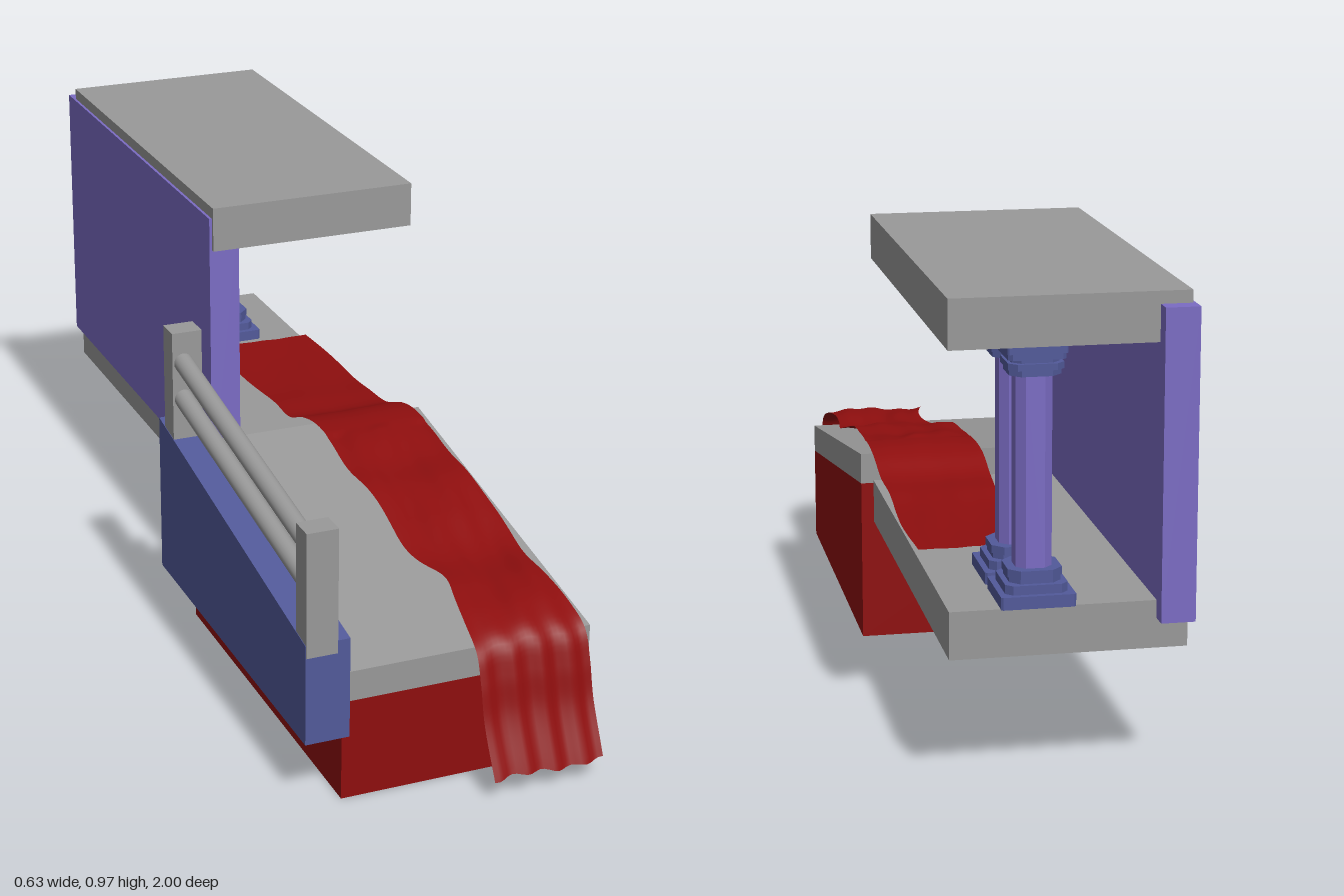
import * as THREE from 'three';

const grey = new THREE.MeshStandardMaterial({ color: 0x999999 });
const red = new THREE.MeshStandardMaterial({ color: 0x8e0e0e, side: THREE.DoubleSide });
const purple = new THREE.MeshStandardMaterial({ color: 0x7b6cc4 });
const blue = new THREE.MeshStandardMaterial({ color: 0x525a9a });
grey.name = 'stone grey';
red.name = 'deep red';
purple.name = 'violet';
blue.name = 'slate blue';

function add(parent, name, geometry, material) {
  const mesh = new THREE.Mesh(geometry, material);
  mesh.name = name;
  parent.add(mesh);
  return mesh;
}

// Box given by its limits on each axis
function box(parent, name, material, [x0, x1], [y0, y1], [z0, z1]) {
  const mesh = add(parent, name, new THREE.BoxGeometry(x1 - x0, y1 - y0, z1 - z0), material);
  mesh.position.set((x0 + x1) / 2, (y0 + y1) / 2, (z0 + z1) / 2);
  return mesh;
}

// Side profile of [z, y] points, extruded across x
function prism(parent, name, material, [x0, x1], points) {
  const shape = new THREE.Shape(points.map(([z, y]) => new THREE.Vector2(z, y)));
  const geometry = new THREE.ExtrudeGeometry(shape, { depth: x1 - x0, bevelEnabled: false });
  geometry.rotateY(-Math.PI / 2).translate(x1, 0, 0);
  return add(parent, name, geometry, material);
}

// Square block with cut corners, used for the column mouldings
function moulding(parent, name, material, y0, y1, width, cut) {
  const h = width / 2, c = h - cut;
  const corners = [[c, -h], [h, -c], [h, c], [c, h], [-c, h], [-h, c], [-h, -c], [-c, -h]];
  const shape = new THREE.Shape(corners.map(([x, y]) => new THREE.Vector2(x, y)));
  const geometry = new THREE.ExtrudeGeometry(shape, { depth: y1 - y0, bevelEnabled: false });
  geometry.rotateX(-Math.PI / 2).translate(0, y0, 0);
  return add(parent, name, geometry, material);
}

function column(z) {
  const group = new THREE.Group();
  group.name = 'column';
  moulding(group, 'shaft', purple, 0.42, 0.82, 0.071, 0.017);
  // bottom, top, width, corner cut
  const base = [[0.365, 0.39, 0.146, 0.004], [0.39, 0.408, 0.122, 0.014],
    [0.408, 0.418, 0.1, 0.018], [0.418, 0.434, 0.106, 0.022]];
  const capital = [[0.812, 0.824, 0.1, 0.02], [0.824, 0.837, 0.108, 0.016],
    [0.837, 0.845, 0.092, 0.016], [0.845, 0.857, 0.112, 0.008], [0.857, 0.872, 0.116, 0.003]];
  base.forEach(p => moulding(group, 'columnBase', blue, ...p));
  capital.forEach(p => moulding(group, 'columnCapital', blue, ...p));
  group.position.set(0.112, 0, z);
  return group;
}

// Round bar between two points
function bar(parent, name, material, a, b, radius) {
  const path = new THREE.LineCurve3(new THREE.Vector3(...a), new THREE.Vector3(...b));
  return add(parent, name, new THREE.TubeGeometry(path, 1, radius, 20), material);
}

// Rippled cloth following a path of [z, y] points from the back to the hanging front end
function carpet(parent) {
  const path = new THREE.CatmullRomCurve3([
    [-0.6, 0.384], [-0.45, 0.383], [-0.29, 0.387], [-0.2, 0.394], [-0.1, 0.4], [-0.02, 0.43],
    [0.04, 0.44], [0.14, 0.434], [0.25, 0.414], [0.35, 0.407], [0.46, 0.383], [0.6, 0.347],
    [0.73, 0.346], [0.83, 0.332], [0.9, 0.3], [0.925, 0.24], [0.945, 0.16], [0.995, 0.047],
  ].map(([z, y]) => new THREE.Vector3(0, y, z)));
  const geometry = new THREE.PlaneGeometry(1, 1, 24, 140);
  const pos = geometry.attributes.position;
  for (let i = 0; i < pos.count; i++) {
    const u = pos.getX(i), t = 0.5 - pos.getY(i);
    const p = path.getPointAt(Math.min(1, Math.max(0, t)));
    const pinch = Math.exp(-(((p.z - 0.66) / 0.09) ** 2)) * (p.y > 0.32 ? 1 : 0);
    const left = 0.045 + 0.028 * pinch + 0.004 * Math.sin(p.z * 19);
    const right = 0.286 - 0.008 * pinch + 0.004 * Math.sin(p.z * 13 + 1);
    const onRamp = p.z > 0.1 ? 1 : 0.25;
    const ripple = onRamp * (0.004 * Math.sin(u * 7 + p.z * 16) + 0.002 * Math.sin(u * 22 + p.z * 9));
    const hang = THREE.MathUtils.smoothstep(p.z, 0.86, 0.93);
    pos.setXYZ(i, THREE.MathUtils.lerp(left, right, u + 0.5),
      p.y + ripple, p.z + hang * 0.005 * Math.sin(u * 24));
  }
  geometry.computeVertexNormals();
  add(parent, 'carpet', geometry, red);
}

export function createModel() {
  const model = new THREE.Group();
  model.name = 'rampAndPorch';

  // Ramp: wedge base with a sloping slab on top
  const rampX = [-0.235, 0.313];
  prism(model, 'rampBase', red, rampX, [[0.015, 0], [0.87, 0], [0.87, 0.22], [0.015, 0.36]]);
  prism(model, 'rampSlab', grey, rampX, [[0.015, 0.36], [0.87, 0.22], [0.87, 0.286], [0.015, 0.428]]);

  // Parapet and handrail on one side
  prism(model, 'parapet', blue, [-0.317, -0.222],
    [[0.025, 0.146], [0.88, 0.146], [0.88, 0.367], [0.025, 0.507]]);
  const railing = new THREE.Group();
  railing.name = 'railing';
  model.add(railing);
  box(railing, 'frontPost', grey, [-0.316, -0.249], [0.34, 0.61], [0.827, 0.882]);
  box(railing, 'backPost', grey, [-0.316, -0.249], [0.47, 0.738], [0.062, 0.118]);
  for (const drop of [0, 0.084]) {
    bar(railing, 'rail', grey, [-0.291, 0.56 - drop, 0.85], [-0.291, 0.673 - drop, 0.09], 0.021);
  }

  // Porch: floor, roof, long wall and a pair of columns
  box(model, 'floor', grey, [-0.182, 0.285], [0.27, 0.366], [-0.963, 0.015]);
  box(model, 'roof', grey, [-0.182, 0.285], [0.872, 0.97], [-0.963, 0.015]);
  box(model, 'wall', purple, [-0.188, -0.12], [0.33, 0.945], [-1, 0.007]);
  for (const z of [-0.732, -0.897]) model.add(column(z));

  carpet(model);
  return model;
}
